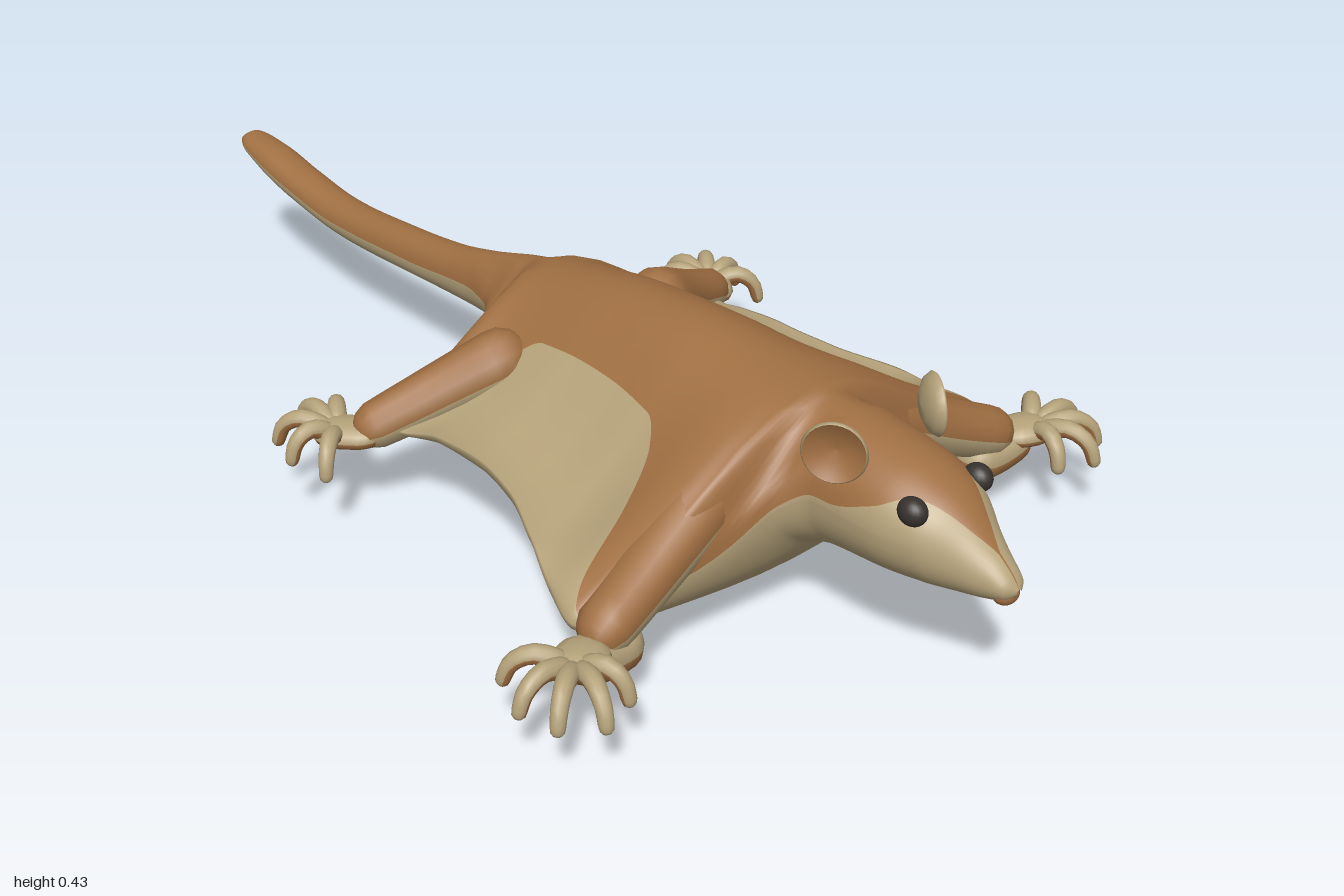
import * as THREE from 'three';

const brown = new THREE.MeshStandardMaterial({ color: 0xa06f42 });
const cream = new THREE.MeshStandardMaterial({ color: 0xb5a27a });
const dark = new THREE.MeshStandardMaterial({ color: 0x37322e });
brown.name = 'brown fur';
cream.name = 'cream fur';
dark.name = 'dark eye';

// Smooth monotone interpolation through [position, value] pairs
function profile(pts) {
  const n = pts.length;
  const d = pts.slice(1).map((p, i) => (p[1] - pts[i][1]) / (p[0] - pts[i][0]));
  const m = pts.map((p, i) => {
    if (i === 0) return d[0];
    if (i === n - 1) return d[n - 2];
    return d[i - 1] * d[i] <= 0 ? 0 : (2 * d[i - 1] * d[i]) / (d[i - 1] + d[i]);
  });
  return (z) => {
    if (z <= pts[0][0]) return pts[0][1];
    if (z >= pts[n - 1][0]) return pts[n - 1][1];
    let i = 0;
    while (z > pts[i + 1][0]) i++;
    const h = pts[i + 1][0] - pts[i][0], t = (z - pts[i][0]) / h, a = t * t, b = a * t;
    return (2 * b - 3 * a + 1) * pts[i][1] + (b - 2 * a + t) * h * m[i]
      + (3 * a - 2 * b) * pts[i + 1][1] + (b - a) * h * m[i + 1];
  };
}

// Skin closed rings; columns in [from, to) take the first material, others the second
function skin(name, rings, from, to, materials) {
  const n = rings[0].length, pos = [], first = [], second = [];
  rings.forEach((r) => r.forEach((p) => pos.push(p.x, p.y, p.z)));
  for (let i = 0; i < rings.length - 1; i++) {
    for (let j = 0; j < n; j++) {
      const k = (j + 1) % n, a = i * n + j, b = i * n + k, c = a + n, e = b + n;
      (j >= from && j < to ? first : second).push(a, b, c, b, e, c);
    }
  }
  const geo = new THREE.BufferGeometry();
  geo.setAttribute('position', new THREE.Float32BufferAttribute(pos, 3));
  geo.setIndex([...first, ...second]);
  geo.addGroup(0, first.length, 0);
  geo.addGroup(first.length, second.length, 1);
  geo.computeVertexNormals();
  const mesh = new THREE.Mesh(geo, materials);
  mesh.name = name;
  return mesh;
}

// Tapered, round-ended limb with different upper and lower colours
function limb(name, points, r0, r1, flat, upper, lower, steps = 14) {
  const curve = new THREE.CatmullRomCurve3(points.map((p) => new THREE.Vector3(...p)));
  const length = curve.getLength(), up = new THREE.Vector3(0, 1, 0), rings = [], n = 12;
  for (let i = 0; i <= steps; i++) {
    const u = (1 - Math.cos((Math.PI * i) / steps)) / 2;
    const p = curve.getPointAt(u), t = curve.getTangentAt(u);
    const side = up.clone().cross(t).normalize(), top = t.clone().cross(side);
    const base = r0 + (r1 - r0) * u;
    const end = Math.min(1, (Math.min(u, 1 - u) * length) / base);
    const r = Math.max(base * Math.sqrt(1 - (1 - end) ** 2), 0.0005);
    rings.push(Array.from({ length: n }, (_, j) => {
      const a = (j / n) * Math.PI * 2;
      return p.clone().addScaledVector(side, r * Math.cos(a)).addScaledVector(top, r * flat * Math.sin(a));
    }));
  }
  return skin(name, rings, 0, n / 2, [upper, lower]);
}

// Head, trunk, gliding membrane and tail in one loft from tail tip to nose
function body() {
  const width = profile([[-1, 0.004], [-0.99, 0.022], [-0.96, 0.034], [-0.85, 0.042], [-0.5, 0.041], [-0.22, 0.043],
    [-0.15, 0.057], [-0.1, 0.095], [-0.07, 0.15], [-0.055, 0.24], [-0.04, 0.34], [-0.02, 0.37], [0.02, 0.36],
    [0.1, 0.345], [0.2, 0.345], [0.3, 0.36], [0.4, 0.4], [0.5, 0.44], [0.56, 0.455], [0.595, 0.42], [0.605, 0.36],
    [0.615, 0.26], [0.63, 0.18], [0.65, 0.13], [0.69, 0.105], [0.8, 0.1], [0.87, 0.083], [0.92, 0.055],
    [0.96, 0.036], [0.99, 0.022], [1, 0.004]]);
  const top = profile([[-1, 0.272], [-0.98, 0.284], [-0.9, 0.28], [-0.8, 0.264], [-0.65, 0.25], [-0.45, 0.265],
    [-0.3, 0.285], [-0.2, 0.31], [-0.1, 0.342], [0, 0.365], [0.2, 0.4], [0.35, 0.41], [0.5, 0.4], [0.7, 0.385],
    [0.8, 0.372], [0.87, 0.348], [0.95, 0.288], [0.99, 0.255], [1, 0.241]]);
  const edge = profile([[-1, 0.27], [-0.95, 0.26], [-0.8, 0.23], [-0.65, 0.212], [-0.4, 0.225], [-0.2, 0.245],
    [-0.1, 0.245], [-0.05, 0.185], [0, 0.175], [0.1, 0.2], [0.2, 0.21], [0.4, 0.195], [0.5, 0.165], [0.58, 0.145],
    [0.61, 0.165], [0.65, 0.25], [0.7, 0.28], [0.85, 0.275], [0.95, 0.245], [1, 0.237]]);
  const bottom = profile([[-1, 0.262], [-0.97, 0.245], [-0.9, 0.222], [-0.8, 0.197], [-0.6, 0.176], [-0.3, 0.19],
    [-0.1, 0.195], [-0.05, 0.165], [0, 0.125], [0.1, 0.06], [0.2, 0.02], [0.38, 0], [0.5, 0.018], [0.56, 0.055],
    [0.61, 0.11], [0.65, 0.15], [0.7, 0.167], [0.8, 0.18], [0.95, 0.205], [0.99, 0.22], [1, 0.233]]);
  const spread = profile([[-0.2, 0], [-0.05, 0.7], [0.1, 1], [0.4, 1], [0.54, 0.6], [0.6, 0.55], [0.68, 0]]);
  const coat = profile([[-0.07, 0.96], [-0.03, 0.78], [0, 0.57], [0.05, 0.39], [0.12, 0.27], [0.4, 0.27],
    [0.45, 0.32], [0.5, 0.48], [0.55, 0.78], [0.59, 0.96], [0.72, 0.94], [0.8, 0.72], [0.85, 0.42],
    [0.92, 0.25], [0.96, 0.03]]);
  const rings = [], side = 8, back = 8, belly = 20, q = Math.PI / 2;
  for (let i = 0; i <= 400; i++) {
    const z = -1 + i / 200, w = width(z), yE = edge(z), k = spread(z), f = coat(z) * q;
    const point = (a, y, mix) => {
      const s = Math.sin(a), bump = ((1 + Math.cos(Math.PI * s)) / 2) ** 1.2;
      return new THREE.Vector3(w * s, yE + (y - yE) * (Math.cos(a) * (1 - mix) + bump * mix), z);
    };
    const ring = [];
    for (let j = 0; j < side; j++) ring.push(point(q + ((f - q) * j) / side, top(z), k));
    for (let j = 0; j < 2 * back; j++) ring.push(point(f * (1 - j / back), top(z), k));
    for (let j = 0; j < side; j++) ring.push(point(-f + ((f - q) * j) / side, top(z), k));
    for (let j = 0; j < belly; j++) ring.push(point(-q + (2 * q * j) / belly, bottom(z), k * 0.5));
    rings.push(ring);
  }
  return skin('body', rings, side, side + 2 * back, [brown, cream]);
}

// Palm with five arched fingers; tips are [x, z]
function paw(name, s, wrist, palm, tips, tipY) {
  const g = new THREE.Group();
  g.name = name;
  const flip = ([x, y, z]) => [s * x, y, z];
  const ahead = palm.map((v, i) => v + (v - wrist[i]) * 0.5);
  g.add(limb('palm', [wrist, palm, ahead].map(flip), 0.04, 0.044, 0.55, cream, brown));
  tips.forEach(([x, z]) => {
    const at = (t, y) => [palm[0] + (x - palm[0]) * t, y, palm[2] + (z - palm[2]) * t];
    const path = [at(0.1, palm[1]), at(0.55, palm[1] + 0.018), at(0.85, palm[1] + 0.002), at(1, tipY)];
    g.add(limb('finger', path.map(flip), 0.018, 0.011, 1, cream, brown));
  });
  return g;
}

// Cupped ear: cream back and brown hollow front
function ear(s) {
  const g = new THREE.Group();
  g.name = 'ear';
  const parts = [['earBack', cream, [[0, -0.014], [0.025, -0.011], [0.043, -0.002], [0.05, 0.009], [0.047, 0.013]]],
    ['earInside', brown, [[0.047, 0.013], [0.038, 0.008], [0.02, 0], [0, -0.003]]]];
  parts.forEach(([name, material, pts]) => {
    const geo = new THREE.LatheGeometry(pts.map((p) => new THREE.Vector2(...p)), 28);
    geo.rotateX(Math.PI / 2);
    const mesh = new THREE.Mesh(geo, material);
    mesh.name = name;
    g.add(mesh);
  });
  g.position.set(s * 0.1, 0.382, 0.73);
  g.lookAt(s * 0.9, 0.42, 1.23);
  return g;
}

function ball(name, material, position, scale) {
  const mesh = new THREE.Mesh(new THREE.SphereGeometry(1, 20, 14), material);
  mesh.name = name;
  mesh.position.set(...position);
  mesh.scale.set(...scale);
  return mesh;
}

export function createModel() {
  const model = new THREE.Group();
  model.name = 'glidingAnimal';
  model.add(body());
  model.add(ball('nose', brown, [0, 0.224, 0.978], [0.022, 0.017, 0.018]));
  for (const s of [1, -1]) {
    const flip = ([x, y, z]) => [s * x, y, z];
    // Front and hind limbs
    model.add(limb('arm', [[0.14, 0.28, 0.55], [0.32, 0.19, 0.58], [0.46, 0.135, 0.61]].map(flip), 0.06, 0.042, 1, brown, cream));
    model.add(limb('wrist', [[0.36, 0.115, 0.595], [0.42, 0.108, 0.605], [0.5, 0.13, 0.62]].map(flip), 0.046, 0.036, 1, cream, brown));
    model.add(limb('leg', [[0.13, 0.28, 0.07], [0.28, 0.21, 0], [0.41, 0.165, -0.04]].map(flip), 0.06, 0.038, 1, brown, cream));
    model.add(paw('frontPaw', s, [0.44, 0.135, 0.605], [0.5, 0.138, 0.63],
      [[0.58, 0.56], [0.61, 0.635], [0.592, 0.7], [0.535, 0.74], [0.47, 0.715]], 0.1));
    model.add(paw('hindPaw', s, [0.37, 0.165, -0.01], [0.42, 0.16, -0.075],
      [[0.49, -0.01], [0.505, -0.09], [0.487, -0.16], [0.42, -0.185], [0.365, -0.16]], 0.12));
    // Face
    model.add(ear(s));
    model.add(ball('eye', dark, [s * 0.07, 0.328, 0.855], [0.02, 0.022, 0.024]));
  }
  return model;
}
